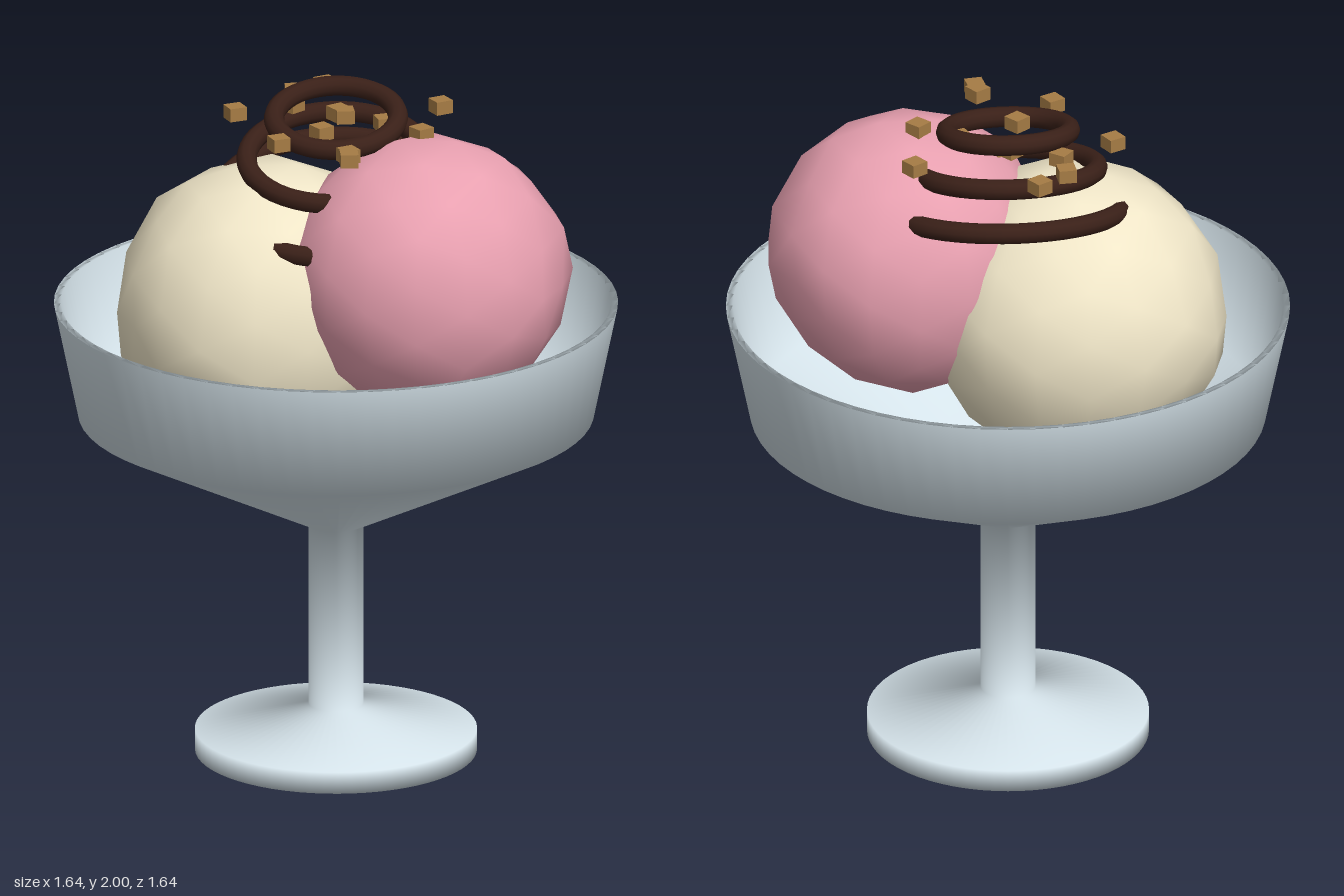
import * as THREE from 'three';
import { mergeVertices } from 'three/addons/utils/BufferGeometryUtils.js';

const material = (color) => new THREE.MeshStandardMaterial({ color });

function addMesh(parent, name, geometry, mat, x = 0, y = 0, z = 0) {
  const mesh = new THREE.Mesh(geometry, mat);
  mesh.name = name;
  mesh.position.set(x, y, z);
  parent.add(mesh);
  return mesh;
}

// Small seeded random number generator
function seeded(seed) {
  let s = seed;
  return () => (s = (s * 16807) % 2147483647) / 2147483647;
}

// Lumpy scoop: a welded icosphere with a slightly uneven radius
function scoopGeometry(radius, seed) {
  const ico = new THREE.IcosahedronGeometry(radius, 2);
  ico.deleteAttribute('uv');
  ico.deleteAttribute('normal');
  const geometry = mergeVertices(ico, 1e-3);
  const random = seeded(seed);
  const pos = geometry.attributes.position;
  const v = new THREE.Vector3();
  for (let i = 0; i < pos.count; i++) {
    v.fromBufferAttribute(pos, i).multiplyScalar(0.98 + 0.06 * random());
    pos.setXYZ(i, v.x, v.y, v.z);
  }
  geometry.computeVertexNormals();
  return geometry;
}

export function createModel() {
  const model = new THREE.Group();
  model.name = 'iceCreamSundae';

  // Footed glass: foot, stem and bowl, then back down the inside
  const profile = [
    [0, 0], [0.41, 0], [0.41, 0.065], [0.08, 0.14], [0.08, 0.69],
    [0.75, 1.03], [0.82, 1.37], [0.8, 1.37], [0.73, 1.04], [0.06, 0.71], [0, 0.71],
  ].map(([x, y]) => new THREE.Vector2(x, y));
  addMesh(model, 'glass', new THREE.LatheGeometry(profile, 64), material(0xd5e3ea));

  // Scoops
  addMesh(model, 'vanillaScoop', scoopGeometry(0.44, 1234), material(0xf0e6c8), -0.2, 1.35, 0);
  addMesh(model, 'strawberryScoop', scoopGeometry(0.41, 98765), material(0xe8a0b0), 0.28, 1.51, 0.13);

  // Chocolate sauce: three tilted rings, widening downwards into the scoops
  const sauce = new THREE.Group();
  sauce.name = 'chocolateSauce';
  const sauceMaterial = material(0x3a2018);
  for (let i = 0; i < 3; i++) {
    const ring = new THREE.TorusGeometry(0.18 + 0.08 * i, 0.03, 10, 48);
    ring.rotateX(Math.PI / 2 + 0.22);
    addMesh(sauce, 'sauceRing', ring, sauceMaterial, 0, 1.935 - 0.122 * i, 0);
  }
  model.add(sauce);

  // Nut pieces: small blocks at one level, each [x, z, turn]
  const nuts = new THREE.Group();
  nuts.name = 'nutPieces';
  const nutGeometry = new THREE.BoxGeometry(0.052, 0.04, 0.052);
  const nutMaterial = material(0xa67c45);
  const places = [
    [-0.06, -0.34, 0.6], [-0.145, -0.265, 0.1], [0.29, -0.18, 0.6], [-0.3, -0.07, 0.5],
    [-0.14, -0.16, 0.9], [0.0, -0.09, 0.7], [0.02, -0.07, 0.2], [0.14, -0.01, 0.4],
    [-0.035, 0.085, 0.7], [0.255, 0.075, 0.75], [-0.15, 0.2, 0.5], [0.06, 0.29, 0.6], [0.065, 0.325, 0.15],
  ];
  for (const [x, z, turn] of places) {
    addMesh(nuts, 'nutPiece', nutGeometry, nutMaterial, x, 1.92, z).rotation.y = turn;
  }
  model.add(nuts);

  return model;
}
